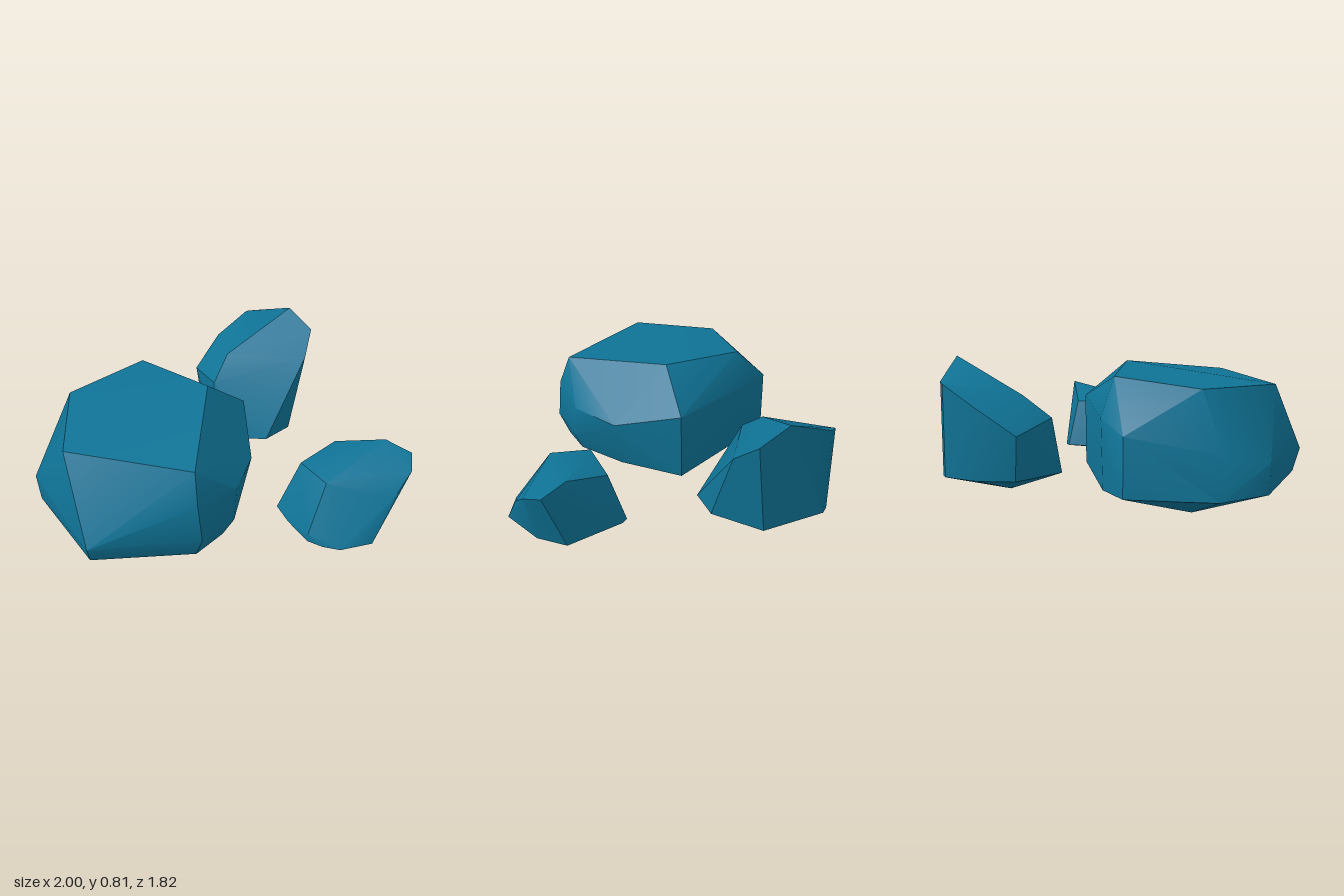
import * as THREE from 'three';
import { mergeVertices, toCreasedNormals } from 'three/addons/utils/BufferGeometryUtils.js';
import { ConvexGeometry } from 'three/addons/geometries/ConvexGeometry.js';

const BASE_Y = 0.2;

// A boulder: the hull of a base outline [x, z], an underside tip and upper corners [x, y, z]
function makeRock(name, material, { base, tip, upper }) {
  const points = [
    ...base.map(([x, z]) => new THREE.Vector3(x, BASE_Y, z)),
    new THREE.Vector3(...tip),
    ...upper.map((p) => new THREE.Vector3(...p)),
  ];
  let geometry = new ConvexGeometry(points);
  geometry.deleteAttribute('normal');
  geometry = toCreasedNormals(mergeVertices(geometry, 1e-4), 0.6);
  const mesh = new THREE.Mesh(geometry, material);
  mesh.name = name;
  return mesh;
}

export function createModel() {
  const group = new THREE.Group();
  group.name = 'rocks';
  const stone = new THREE.MeshStandardMaterial({ color: 0x0f7396 });
  stone.name = 'teal stone';

  // Wide, flat-topped boulder
  group.add(makeRock('largeRock', stone, {
    base: [[-1, 0.16], [-0.96, 0.45], [-0.57, 0.86], [-0.05, 0.74], [0.06, 0.58],
      [0.1, 0.28], [0.07, -0.09], [-0.57, -0.25], [-0.77, -0.23], [-0.92, 0.02]],
    tip: [-0.47, 0, 0.3],
    upper: [
      [-0.56, 0.32, 0.91], [-0.01, 0.34, 0.78], [0.12, 0.31, 0.58], [-0.97, 0.36, 0.45],
      [-0.96, 0.41, 0.2], [0.17, 0.48, 0.28], [0.13, 0.5, 0.56], [-0.03, 0.55, 0.77],
      [0.08, 0.58, -0.09], [-0.57, 0.56, -0.26], [-0.77, 0.5, -0.23],
      [-0.72, 0.7, 0.63], [-0.05, 0.715, 0.71], [-0.83, 0.71, 0.15],
      [-0.09, 0.785, 0.09], [-0.5, 0.75, -0.16],
    ],
  }));

  // Tall boulder leaning to the back
  group.add(makeRock('tallRock', stone, {
    base: [[-0.25, -0.6], [-0.14, -0.31], [0.1, -0.24], [0.2, -0.25], [0.32, -0.39],
      [0.33, -0.69], [0.04, -0.91], [-0.01, -0.91], [-0.16, -0.78]],
    tip: [0.09, 0.08, -0.53],
    upper: [
      [-0.28, 0.44, -0.6], [-0.13, 0.5, -0.36], [-0.07, 0.62, -0.5], [-0.17, 0.58, -0.78],
      [-0.01, 0.69, -0.91], [0.04, 0.7, -0.91], [0.27, 0.81, -0.77],
      [0.41, 0.73, -0.67], [0.39, 0.62, -0.53],
    ],
  }));

  // Small boulder with a slanted top
  group.add(makeRock('smallRock', stone, {
    base: [[0.32, 0.33], [0.56, -0.02], [0.6, -0.02], [0.89, 0.13], [0.91, 0.3],
      [0.83, 0.54], [0.67, 0.61], [0.58, 0.6], [0.5, 0.57], [0.39, 0.44]],
    tip: [0.65, 0.13, 0.35],
    upper: [
      [0.5, 0.25, 0.57], [0.57, 0.48, 0.43], [0.43, 0.47, 0.27], [0.6, 0.47, 0.06],
      [0.86, 0.565, 0.13], [1, 0.53, 0.18], [1, 0.5, 0.29], [0.92, 0.4, 0.4],
    ],
  }));

  return group;
}
